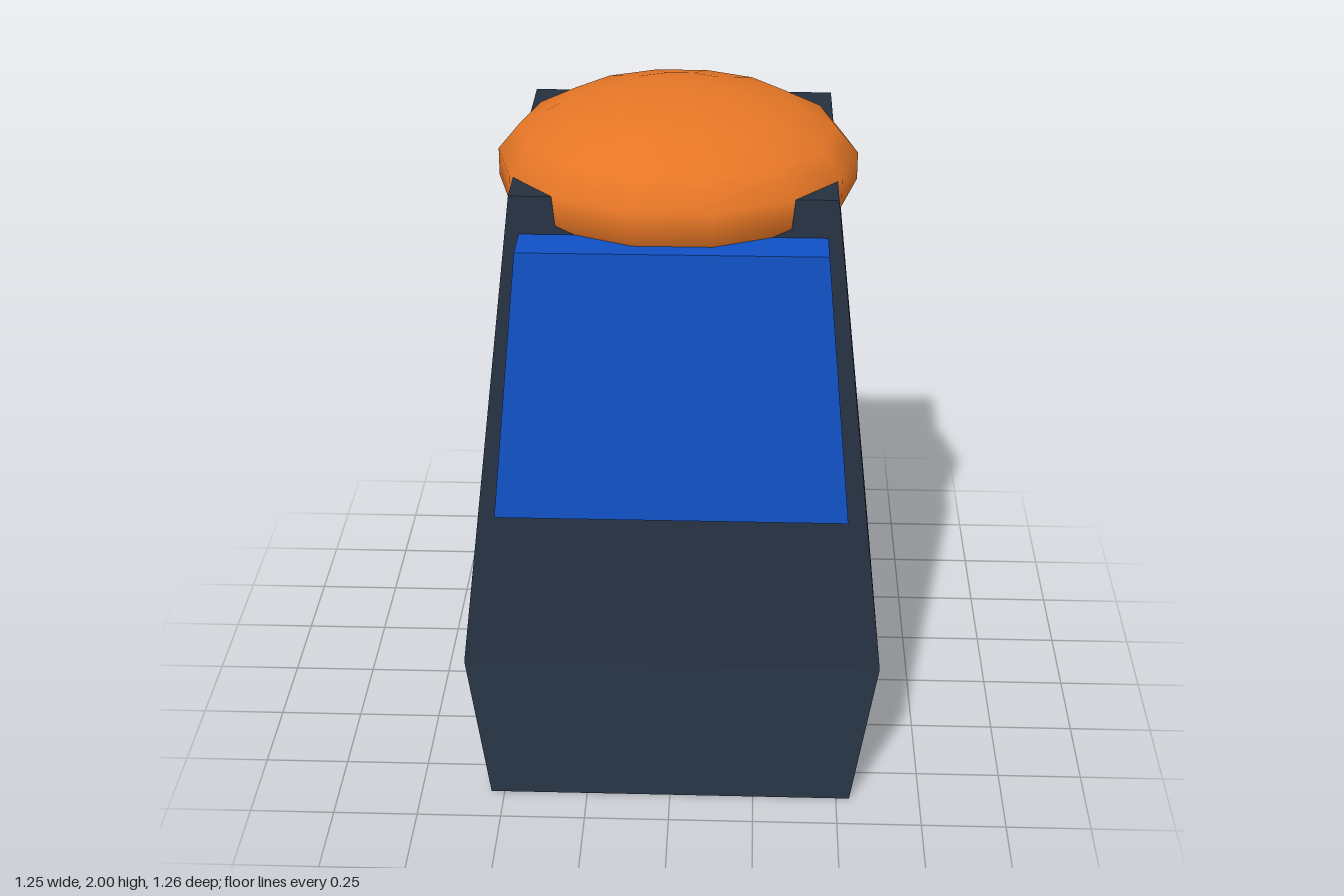
import * as THREE from 'three';

// Solid through stacked rectangles; each level is [y, halfWidth, zBack, zFront]
function rectLoft(levels) {
  const rings = levels.map(([y, w, zb, zf]) => [[-w, y, zf], [w, y, zf], [w, y, zb], [-w, y, zb]]);
  const pos = [];
  const quad = (a, b, c, d) => pos.push(...a, ...b, ...c, ...a, ...c, ...d);
  for (let i = 0; i < rings.length - 1; i++) {
    const lo = rings[i], hi = rings[i + 1];
    for (let k = 0; k < 4; k++) {
      const n = (k + 1) % 4;
      quad(lo[k], lo[n], hi[n], hi[k]);
    }
  }
  const top = rings[rings.length - 1], bottom = rings[0];
  quad(top[0], top[1], top[2], top[3]);
  quad(bottom[3], bottom[2], bottom[1], bottom[0]);
  const geometry = new THREE.BufferGeometry();
  geometry.setAttribute('position', new THREE.Float32BufferAttribute(pos, 3));
  geometry.computeVertexNormals();
  return geometry;
}

export function createModel() {
  const group = new THREE.Group();
  const material = (name, color) => {
    const m = new THREE.MeshStandardMaterial({ color });
    m.name = name;
    return m;
  };
  const add = (name, geometry, mat) => {
    const mesh = new THREE.Mesh(geometry, mat);
    mesh.name = name;
    group.add(mesh);
    return mesh;
  };

  // Tapered housing with a flared foot at the front
  add('body', rectLoft([
    [0, 0.54, -0.58, 0.63],
    [0.375, 0.623, -0.63, 0.493],
    [1.805, 0.46, -0.58, 0.305],
  ]), material('dark slate', 0x253141));

  // Sloping panel raised from the front face
  add('frontPanel', rectLoft([
    [0.895, 0.51, 0.415, 0.52],
    [1.697, 0.433, 0.315, 0.45],
  ]), material('blue', 0x1050c4));

  // Squashed dome sunk into the top
  const dome = new THREE.SphereGeometry(1, 14, 9);
  dome.scale(0.533, 0.235, 0.495);
  dome.translate(0, 1.765, -0.062);
  add('dome', dome, material('orange', 0xe67626));

  return group;
}
